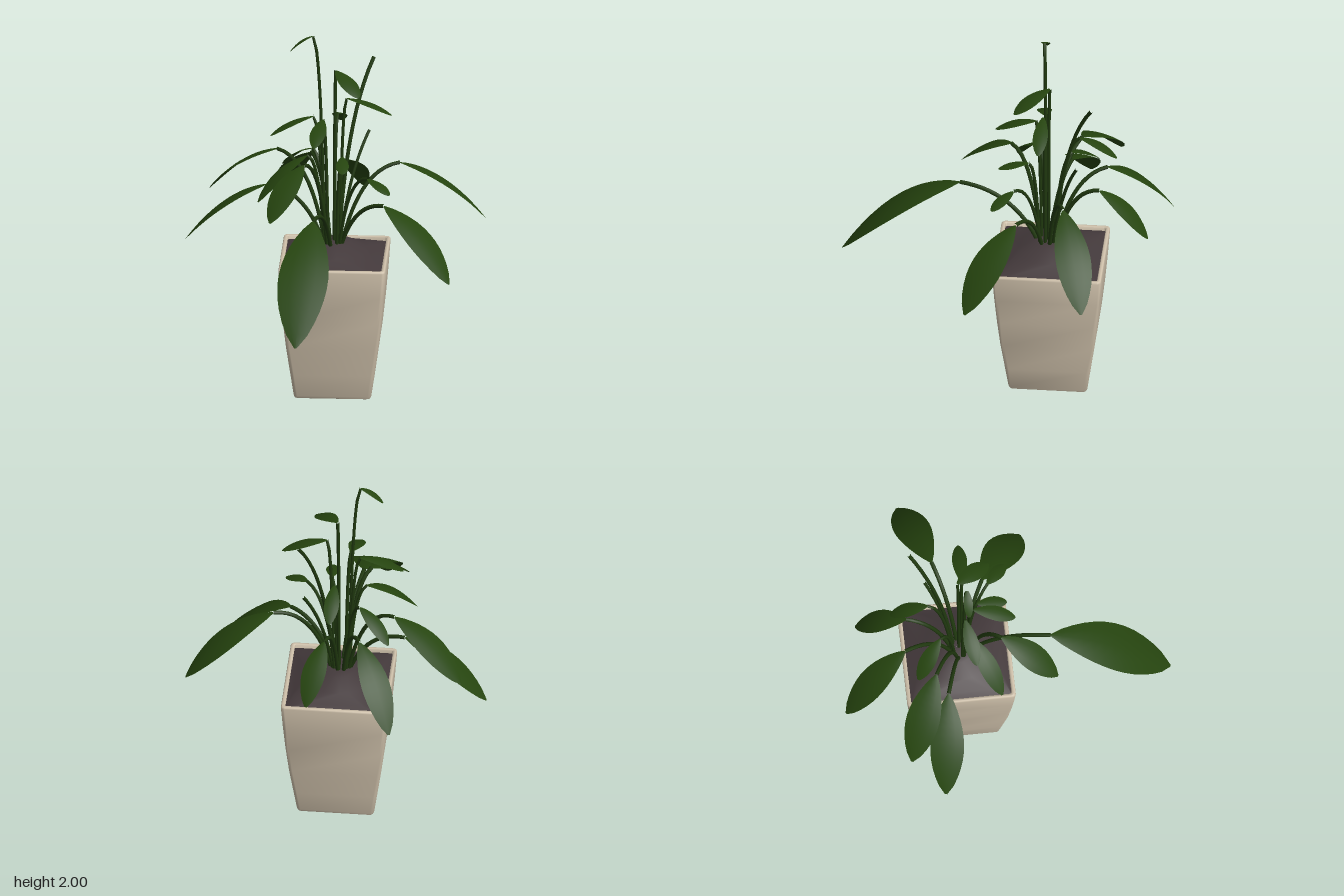
import * as THREE from 'three';
import { toCreasedNormals } from 'three/addons/utils/BufferGeometryUtils.js';

const CENTER_Z = -0.256;
const CROWN = new THREE.Vector3(-0.005, 0.79, -0.235);

// Loft through rounded squares; each ring is [half width, y, corner radius]
function loftSquares(rings, seg) {
  const n = 4 * (seg + 1), pos = [], index = [];
  for (const [h, y, r] of rings) {
    for (let q = 0; q < 4; q++) {
      const mid = (q + 0.5) * Math.PI / 2;
      const cx = Math.sign(Math.cos(mid)) * (h - r), cz = Math.sign(Math.sin(mid)) * (h - r);
      for (let k = 0; k <= seg; k++) {
        const a = (q + k / seg) * Math.PI / 2;
        pos.push(cx + r * Math.cos(a), y, 1.02 * (cz + r * Math.sin(a)));
      }
    }
  }
  for (let i = 0; i < rings.length - 1; i++) {
    for (let j = 0; j < n; j++) {
      const a = i * n + j, b = i * n + (j + 1) % n;
      index.push(a, a + n, b, b, a + n, b + n);
    }
  }
  const geo = new THREE.BufferGeometry();
  geo.setAttribute('position', new THREE.Float32BufferAttribute(pos, 3));
  geo.setIndex(index);
  return toCreasedNormals(geo, 0.8);
}

// Arching blade from base to tip, widest a little past the middle
function bladeGeometry(base, tip, width) {
  const control = base.clone().lerp(tip, 0.57);
  control.y = base.y + (tip.y - base.y) * 0.2;
  const rib = new THREE.QuadraticBezierCurve3(base, control, tip);
  const side = new THREE.Vector3(base.z - tip.z, 0, tip.x - base.x).normalize();
  const rows = 12, pos = [], index = [];
  for (let i = 0; i <= rows; i++) {
    const t = i / rows, p = rib.getPoint(t);
    const w = 0.006 + (width / 2 - 0.006) * Math.pow(Math.max(0, Math.sin(Math.PI * Math.pow(t, 1.1))), 0.75);
    for (const s of [-1, -0.5, 0, 0.5, 1]) {
      const q = p.clone().addScaledVector(side, s * w);
      pos.push(q.x, q.y - 0.14 * w * s * s, q.z);
    }
  }
  for (let i = 0; i < rows; i++) {
    for (let j = 0; j < 4; j++) {
      const a = i * 5 + j, c = a + 5;
      index.push(a, a + 1, c, a + 1, c + 1, c);
    }
  }
  const geo = new THREE.BufferGeometry();
  geo.setAttribute('position', new THREE.Float32BufferAttribute(pos, 3));
  geo.setIndex(index);
  geo.computeVertexNormals();
  return geo;
}

// Stem rising from the crown; lean and rise place the bend
function stemGeometry(end, radius, lean = 0.3, rise = 0.97) {
  const flat = new THREE.Vector3(end.x - CROWN.x, 0, end.z - CROWN.z);
  const start = CROWN.clone().addScaledVector(flat.clone().normalize(), Math.min(0.045, flat.length() * 0.5));
  const bend = start.clone().lerp(end, lean);
  bend.y = start.y + (end.y - start.y) * rise;
  return new THREE.TubeGeometry(new THREE.QuadraticBezierCurve3(start, bend, end), 14, radius, 6);
}

// Leaves: blade base, blade tip, width
const LEAVES = [
  // large arching leaves
  [[-0.085, 1.11, 0.24], [-0.145, 0.62, 0.875], 0.27],
  [[0.345, 1.24, -0.353], [0.8, 0.88, -0.49], 0.19],
  [[0.275, 1.085, -0.09], [0.635, 0.735, 0.15], 0.2],
  [[-0.31, 1.29, -0.395], [-0.68, 1.0, -0.565], 0.18],
  [[-0.36, 1.11, -0.335], [-0.8, 0.77, -0.395], 0.18],
  [[-0.135, 1.22, -0.545], [-0.325, 0.87, -0.88], 0.16],
  [[0.055, 1.19, -0.52], [0.13, 0.95, -0.785], 0.13],
  // medium leaves
  [[-0.15, 1.33, -0.03], [-0.315, 1.1, 0.255], 0.15],
  [[-0.14, 1.33, -0.185], [-0.395, 1.11, -0.05], 0.105],
  [[-0.12, 1.31, -0.355], [-0.285, 1.17, -0.49], 0.09],
  [[0.01, 1.49, -0.41], [0.02, 1.38, -0.61], 0.08],
  // small upper leaves
  [[-0.11, 1.54, -0.22], [-0.335, 1.44, -0.18], 0.08],
  [[-0.055, 1.54, -0.17], [-0.09, 1.455, 0.05], 0.085],
  [[0.07, 1.645, -0.22], [0.31, 1.555, -0.215], 0.08],
  [[0.01, 1.79, -0.25], [0.14, 1.7, -0.07], 0.1],
  [[-0.11, 1.997, -0.21], [-0.23, 1.91, -0.21], 0.05],
  [[0.05, 1.34, -0.14], [0.06, 1.3, 0.02], 0.07],
  [[0.19, 1.245, -0.07], [0.31, 1.19, 0.035], 0.075],
];

export function createModel() {
  const group = new THREE.Group();
  const material = (name, color, side = THREE.FrontSide) => {
    const m = new THREE.MeshStandardMaterial({ color, side });
    m.name = name;
    return m;
  };
  const potMat = material('beige ceramic', 0xcdbfa9);
  const soilMat = material('dark soil', 0x43393b);
  const leafMat = material('leaf green', 0x26450f, THREE.DoubleSide);
  const stemMat = material('stem green', 0x20390f);

  const add = (name, geo, mat, parent = group) => {
    const mesh = new THREE.Mesh(geo, mat);
    mesh.name = name;
    parent.add(mesh);
    return mesh;
  };

  // Pot with recessed drain hole, bulged sides and thin rim
  add('pot', loftSquares([
    [0.001, 0.08, 0.0005], [0.082, 0.08, 0.01], [0.082, 0, 0.01],
    [0.192, 0, 0.02], [0.202, 0.004, 0.02], [0.207, 0.018, 0.02],
    [0.224, 0.14, 0.02], [0.246, 0.3, 0.02], [0.262, 0.45, 0.02],
    [0.275, 0.6, 0.02], [0.285, 0.742, 0.02], [0.283, 0.75, 0.02],
    [0.279, 0.754, 0.018], [0.268, 0.754, 0.015], [0.264, 0.75, 0.012], [0.261, 0.71, 0.01],
  ], 4), potMat).position.set(0.002, 0, CENTER_Z);

  // Soil mounded around the crown
  add('soil', loftSquares([
    [0.265, 0.73, 0.01], [0.23, 0.75, 0.08], [0.17, 0.782, 0.15],
    [0.09, 0.825, 0.09], [0.05, 0.832, 0.05], [0.001, 0.835, 0.001],
  ], 5), soilMat).position.set(0.002, 0, CENTER_Z);

  // Leaves on stems
  for (const [b, t, width] of LEAVES) {
    const leaf = new THREE.Group();
    leaf.name = 'leaf';
    const base = new THREE.Vector3(...b), tip = new THREE.Vector3(...t);
    add('leafStem', stemGeometry(base, width > 0.12 ? 0.011 : 0.009), stemMat, leaf);
    add('leafBlade', bladeGeometry(base, tip, width), leafMat, leaf);
    group.add(leaf);
  }

  // Bare young shoots
  add('shoot', stemGeometry(new THREE.Vector3(0.2, 1.785, -0.49), 0.01, 0.22, 0.72), stemMat);
  add('shoot', stemGeometry(new THREE.Vector3(0.18, 1.4, -0.41), 0.009, 0.3, 0.65), stemMat);

  return group;
}
